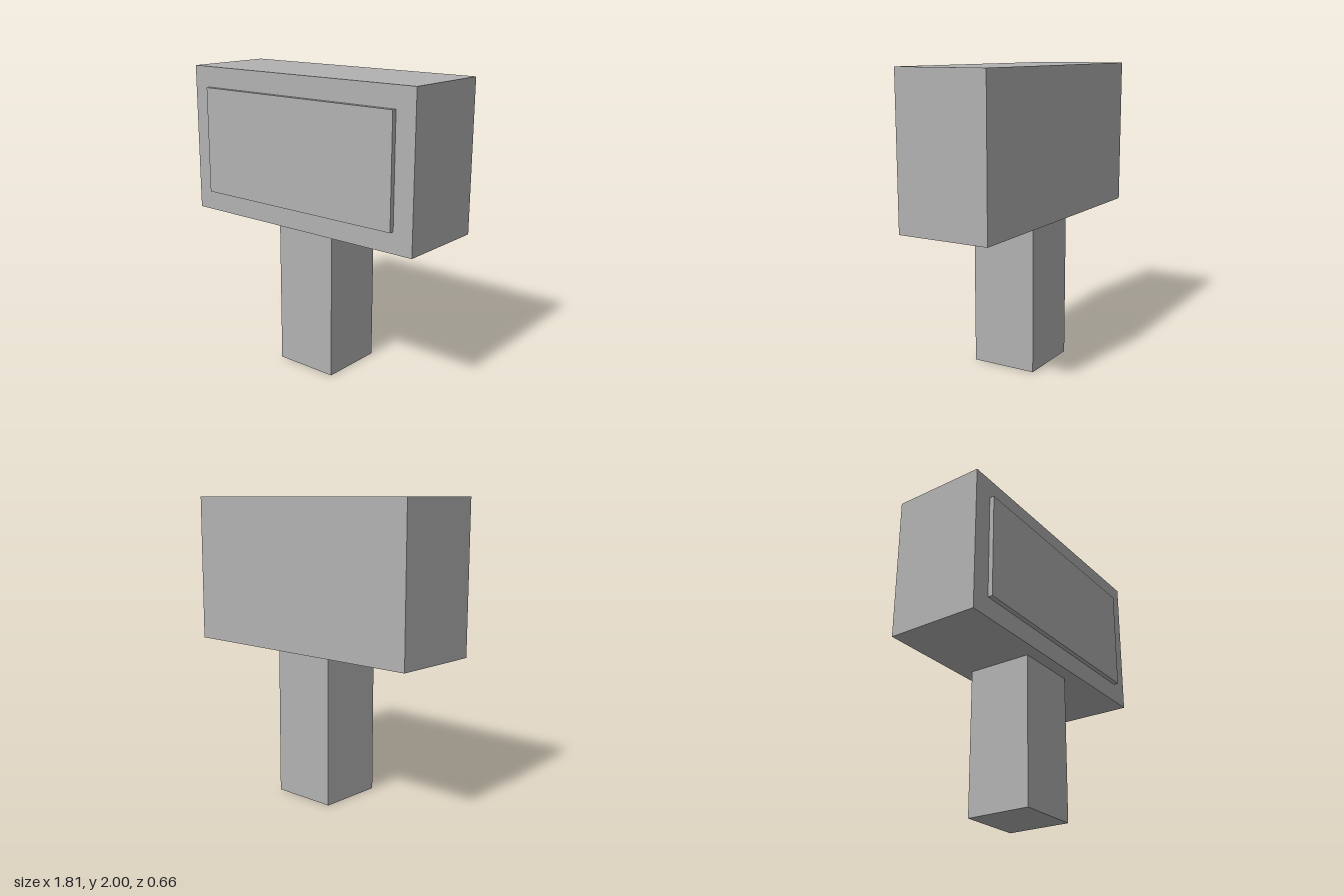
import * as THREE from 'three';

export function createModel() {
  const model = new THREE.Group();
  model.name = 'signOnPost';
  const grey = new THREE.MeshStandardMaterial({ color: 0xb2b2b2 });
  grey.name = 'plain grey';

  // Box given by its width (centred on x) and its y and z ranges
  function block(name, width, [y0, y1], [z0, z1]) {
    const mesh = new THREE.Mesh(new THREE.BoxGeometry(width, y1 - y0, z1 - z0), grey);
    mesh.position.set(0, (y0 + y1) / 2, (z0 + z1) / 2);
    mesh.name = name;
    model.add(mesh);
  }

  // Square post
  block('post', 0.45, [0, 1.003], [-0.24, 0.21]);
  // Wide cabinet on top of the post
  block('cabinet', 1.814, [1.003, 2], [-0.332, 0.3]);
  // Raised panel on the front of the cabinet
  block('frontPanel', 1.54, [1.14, 1.862], [0.3, 0.332]);

  return model;
}
